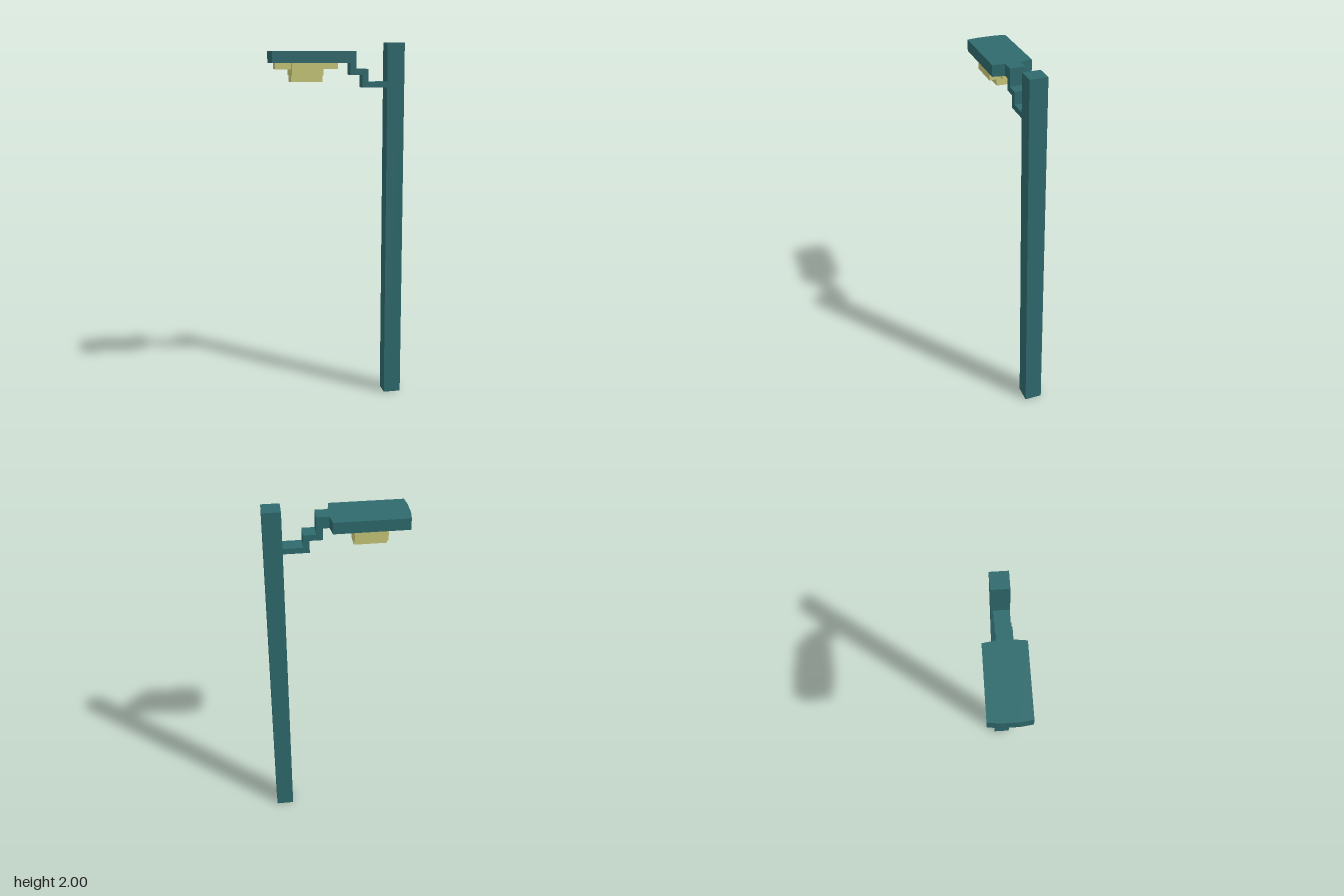
import * as THREE from 'three';

// Hollow prism with a top and walls but no floor; points are [x, z], counter-clockwise from above
function openPrism(points, y0, y1) {
  const pos = [];
  points.forEach(([ax, az], i) => {
    const [bx, bz] = points[(i + 1) % points.length];
    pos.push(ax, y0, az, bx, y0, bz, bx, y1, bz);
    pos.push(ax, y0, az, bx, y1, bz, ax, y1, az);
    if (i > 0 && i < points.length - 1) {
      pos.push(points[0][0], y1, points[0][1], ax, y1, az, bx, y1, bz);
    }
  });
  const geometry = new THREE.BufferGeometry();
  geometry.setAttribute('position', new THREE.Float32BufferAttribute(pos, 3));
  geometry.computeVertexNormals();
  return geometry;
}

export function createModel() {
  const model = new THREE.Group();
  model.name = 'streetLamp';

  const teal = new THREE.MeshStandardMaterial({ color: 0x2f6a6d, side: THREE.DoubleSide });
  teal.name = 'teal paint';
  const yellow = new THREE.MeshStandardMaterial({ color: 0xc9c77a });
  yellow.name = 'pale yellow lamp';

  const add = (name, geometry, material, parent = model) => {
    const mesh = new THREE.Mesh(geometry, material);
    mesh.name = name;
    parent.add(mesh);
    return mesh;
  };

  // Square post, open at the foot
  add('post', openPrism([[0.274, 0.043], [0.37, 0.043], [0.37, -0.053], [0.274, -0.053]], 0, 2), teal);

  // Lamp hood with chamfered ends, open below
  add('hood', openPrism([
    [-0.37, 0.044], [-0.362, 0.107], [0.027, 0.107], [0.036, 0.041],
    [0.036, -0.041], [0.027, -0.107], [-0.362, -0.107], [-0.37, -0.044],
  ], 1.892, 1.955), teal);

  // Stepped arm from the post up to the hood
  const profile = new THREE.Shape([
    [0.036, 1.892], [0.07, 1.892], [0.07, 1.827], [0.137, 1.827], [0.137, 1.759], [0.274, 1.759],
    [0.274, 1.79], [0.17, 1.79], [0.17, 1.859], [0.103, 1.859], [0.103, 1.955], [0.036, 1.955],
  ].map(([x, y]) => new THREE.Vector2(x, y)));
  const arm = new THREE.ExtrudeGeometry(profile, { depth: 0.082, bevelEnabled: false });
  arm.translate(0, 0, -0.041);
  add('arm', arm, teal);

  // Crossed lamp blocks hanging from inside the hood: [name, length, width, bottom]
  const lamp = new THREE.Group();
  lamp.name = 'lamp';
  model.add(lamp);
  for (const [name, length, width, bottom] of [
    ['longLampBar', 0.34, 0.085, 1.859],
    ['crossLampBar', 0.17, 0.166, 1.826],
    ['lowerLampBlock', 0.17, 0.085, 1.791],
  ]) {
    const top = 1.95;
    const block = add(name, new THREE.BoxGeometry(length, top - bottom, width), yellow, lamp);
    block.position.set(-0.17, (top + bottom) / 2, 0);
  }

  return model;
}
